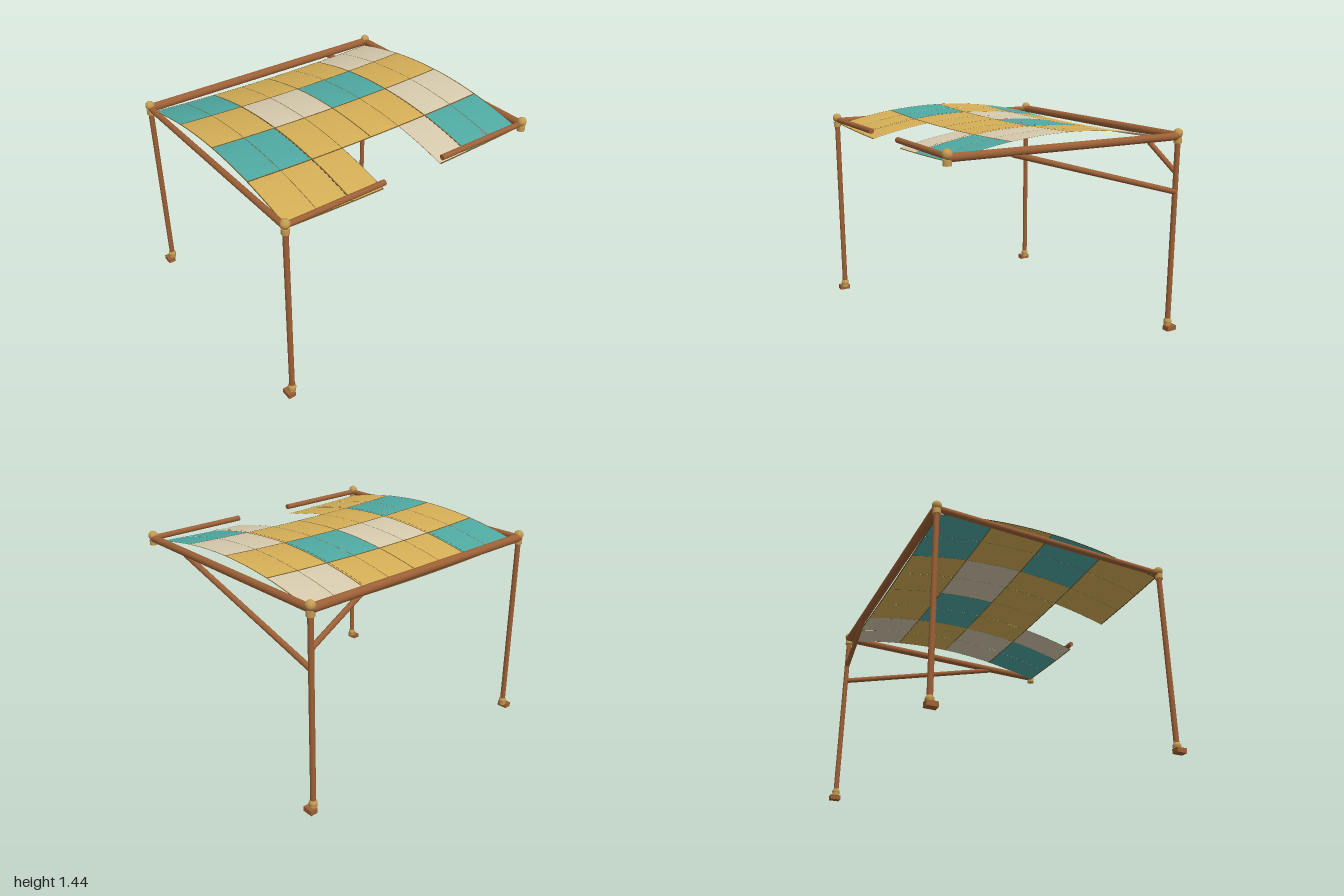
import * as THREE from 'three';
import { mergeGeometries } from 'three/addons/utils/BufferGeometryUtils.js';

const mat = (name, color, side = THREE.FrontSide) => {
  const m = new THREE.MeshStandardMaterial({ color, side });
  m.name = name;
  return m;
};

// Canopy height: arched from back to front, sagging slightly across the middle
const canopyY = (x, z) =>
  1.328 + 0.11 * (1 - (z / 0.83) ** 2) - 0.024 * (1 - (x / 0.93) ** 2);

// Cloth patch lying on the canopy, with an optional soft bulge
function patch(x0, x1, z0, z1, lift, puff, nx, nz) {
  const g = new THREE.PlaneGeometry(1, 1, nx, nz).rotateX(-Math.PI / 2);
  const p = g.attributes.position;
  for (let i = 0; i < p.count; i++) {
    const u = p.getX(i) + 0.5, v = p.getZ(i) + 0.5;
    const x = x0 + (x1 - x0) * u, z = z0 + (z1 - z0) * v;
    const bulge = puff * Math.pow(16 * u * (1 - u) * v * (1 - v), 0.5);
    p.setXYZ(i, x, canopyY(x, z) + lift + bulge, z);
  }
  g.computeVertexNormals();
  return g;
}

export function createModel() {
  const model = new THREE.Group();
  model.name = 'canopyShelter';

  const wood = mat('wood', 0x9c6036);
  const brass = mat('brass', 0xc49a52);
  const cloth = {
    Y: mat('yellowCloth', 0xd4ae56, THREE.DoubleSide),
    T: mat('tealCloth', 0x4fa9a2, THREE.DoubleSide),
    C: mat('creamCloth', 0xd6caad, THREE.DoubleSide),
  };
  const seamMat = mat('seam', 0x6b5329, THREE.DoubleSide);
  const stitchMat = mat('stitch', 0x4a3a22, THREE.DoubleSide);

  const add = (name, geometry, material, parent = model) => {
    const mesh = new THREE.Mesh(geometry, material);
    mesh.name = name;
    parent.add(mesh);
    return mesh;
  };

  // Round pole between two points
  const pole = (name, a, b, r) => {
    const from = new THREE.Vector3(...a), to = new THREE.Vector3(...b);
    const dir = to.clone().sub(from);
    const mesh = add(name, new THREE.CylinderGeometry(r, r, dir.length(), 16), wood);
    mesh.position.copy(from).add(to).multiplyScalar(0.5);
    mesh.quaternion.setFromUnitVectors(new THREE.Vector3(0, 1, 0), dir.normalize());
  };

  const X = 0.952, Z = 0.845, Y = 1.355;

  // Corner joints; the front left corner has no post below it
  for (const sx of [-1, 1]) for (const sz of [-1, 1]) {
    const x = sx * X, z = sz * Z;
    const joint = new THREE.Group();
    joint.name = 'cornerJoint';
    joint.position.set(x, 0, z);
    model.add(joint);
    add('jointBall', new THREE.SphereGeometry(0.032, 20, 14), brass, joint).position.y = 1.376;
    add('jointCollar', new THREE.CylinderGeometry(0.027, 0.027, 0.036, 16), brass, joint).position.y = 1.328;
    if (sx > 0 && sz > 0) continue;

    pole('post', [x, 0.04, z], [x, 1.37, z], 0.0185);
    const foot = new THREE.Group();
    foot.name = 'foot';
    foot.position.set(x, 0, z);
    model.add(foot);
    add('footBall', new THREE.SphereGeometry(0.028, 20, 14), brass, foot).position.y = 0.058;
    add('footCollar', new THREE.CylinderGeometry(0.026, 0.026, 0.034, 16), brass, foot).position.y = 0.042;
    add('footPlate', new THREE.BoxGeometry(0.052, 0.033, 0.074), wood, foot)
      .position.set(sx * 0.022, 0.0165, 0);
  }

  // Roof beams, with a gap at the front
  pole('backBeam', [-X, Y, -Z], [X, Y, -Z], 0.029);
  pole('rightBeam', [-X, Y, -Z], [-X, Y, Z], 0.021);
  pole('leftBeam', [X, Y, -Z], [X, Y, Z], 0.026);
  pole('frontBeam', [-X, Y + 0.005, 0.84], [-0.235, Y + 0.005, 0.84], 0.019);
  pole('frontBeam', [0.23, Y + 0.005, 0.84], [X, Y + 0.005, 0.84], 0.019);

  // Braces rising from the back left post
  pole('sideBrace', [X, 0.98, -Z], [X, 1.34, 0.42], 0.019);
  pole('backBrace', [X, 1.11, -Z], [0.56, 1.345, -Z], 0.018);

  // Patchwork canopy: one letter per half panel, a dot is an opening
  const rows = ['TTYYYYCC', 'YYCCTTYY', 'TTYYYYCC', 'YYY..CTT'];
  const zs = [-0.825, -0.425, -0.003, 0.415, 0.828];
  const xs = [...Array(9).keys()].map((i) => -0.93 + i * 0.2325);
  const parts = { Y: [], T: [], C: [] };
  const seams = [], stitches = [];

  rows.forEach((row, r) => [...row].forEach((key, c) => {
    if (key === '.') return;
    const [x0, x1, z0, z1] = [xs[c], xs[c + 1], zs[r], zs[r + 1]];
    parts[key].push(patch(x0 + 0.001, x1 - 0.001, z0 + 0.003, z1 - 0.003, 0, 0.006, 10, 10));
    // Seams along the row edges and panel sides
    for (const z of [z0, z1]) seams.push(patch(x0, x1, z - 0.005, z + 0.005, 0.001, 0, 4, 1));
    const sides = [[x0, c], [x1, c + 1]];
    for (const [x, i] of sides) {
      const w = i % 2 ? 0.002 : 0.004;
      seams.push(patch(x - w, x + w, z0, z1, 0.001, 0, 1, 8));
    }
    // Stitched dashes beside the outer joins
    if (c === 1 || c === 5) {
      for (let z = z0 + 0.015; z < z1 - 0.02; z += 0.04) {
        stitches.push(patch(x1 - 0.013, x1 - 0.008, z, z + 0.024, 0.006, 0, 1, 1));
      }
    }
  }));

  const canopy = new THREE.Group();
  canopy.name = 'canopy';
  model.add(canopy);
  add('yellowPanels', mergeGeometries(parts.Y), cloth.Y, canopy);
  add('tealPanels', mergeGeometries(parts.T), cloth.T, canopy);
  add('creamPanels', mergeGeometries(parts.C), cloth.C, canopy);
  add('panelSeams', mergeGeometries(seams), seamMat, canopy);
  add('stitching', mergeGeometries(stitches), stitchMat, canopy);

  return model;
}
